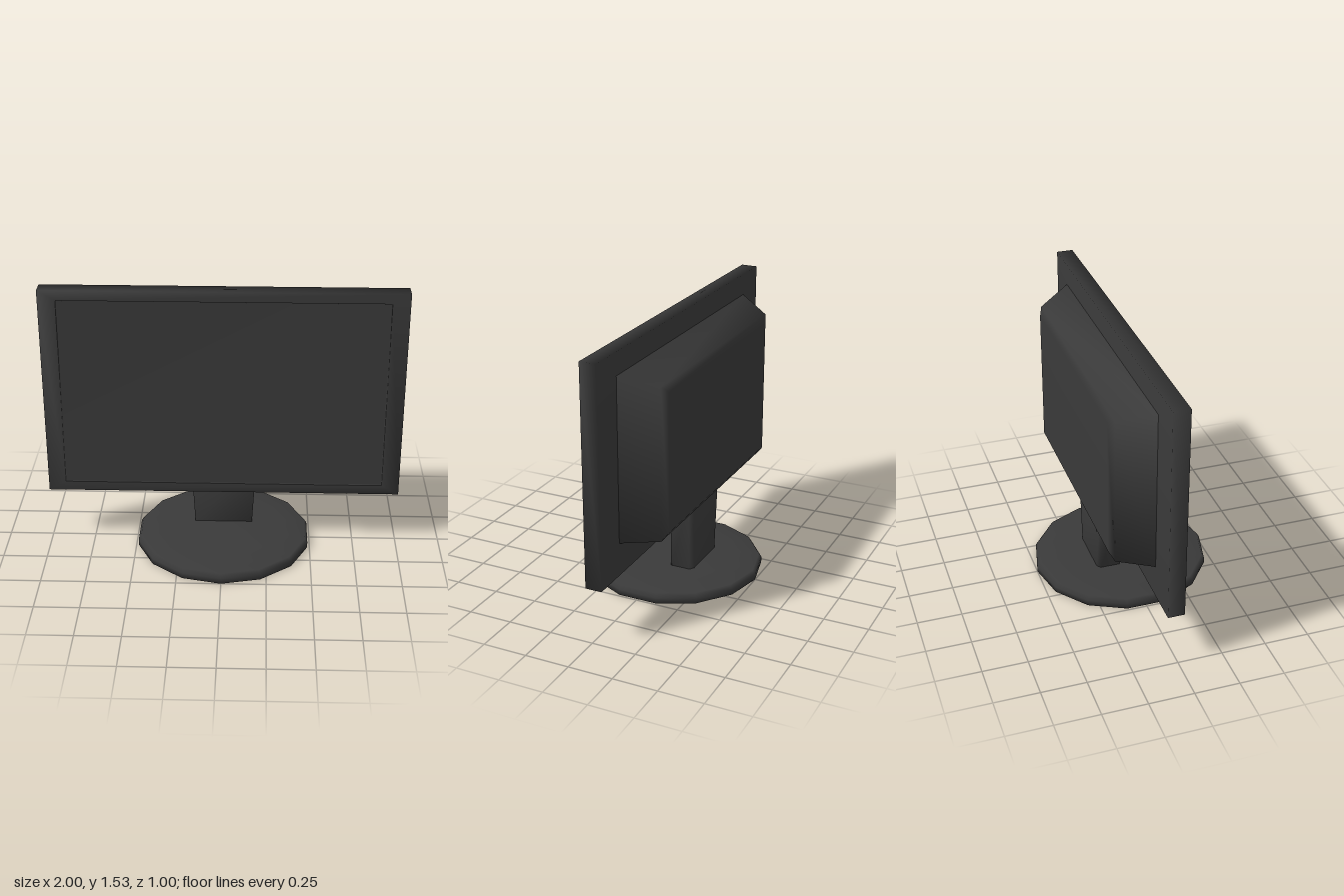
import * as THREE from 'three';

// Skin of consecutive cross-sections (counterclockwise seen from the last one), smooth normals
function loft(rings, capStart, capEnd) {
  const n = rings[0].length, last = (rings.length - 1) * n, index = [];
  for (let i = 0; i < rings.length - 1; i++) {
    for (let j = 0; j < n; j++) {
      const a = i * n + j, b = i * n + (j + 1) % n;
      index.push(a, b, b + n, a, b + n, a + n);
    }
  }
  for (let j = 1; j < n - 1; j++) {
    if (capStart) index.push(0, j + 1, j);
    if (capEnd) index.push(last, last + j, last + j + 1);
  }
  const geometry = new THREE.BufferGeometry();
  geometry.setAttribute('position', new THREE.Float32BufferAttribute(rings.flat(2), 3));
  geometry.setIndex(index);
  geometry.computeVertexNormals();
  return geometry;
}

// Upright rectangle facing +z
const rect = (hx, y0, y1, z) => [[-hx, y0, z], [hx, y0, z], [hx, y1, z], [-hx, y1, z]];

// Level neck section with chamfered rear corners
const neckSection = (y, hx, front, back) => [
  [hx, y, front], [hx, y, back + 0.018], [hx - 0.025, y, back],
  [-hx + 0.025, y, back], [-hx, y, back + 0.018], [-hx, y, front],
];

export function createModel() {
  const model = new THREE.Group();
  const plastic = new THREE.MeshStandardMaterial({ color: 0x3a3a3a });
  plastic.name = 'charcoal plastic';

  const add = (name, geometry, parent = model, x = 0, y = 0, z = 0) => {
    const mesh = new THREE.Mesh(geometry, plastic);
    mesh.name = name;
    mesh.position.set(x, y, z);
    parent.add(mesh);
    return mesh;
  };

  // Frame: closed back, sides and front bezel
  add('frame', loft([
    rect(1, 0.315, 1.535, -0.062),
    rect(1, 0.315, 1.535, 0.031),
    rect(0.902, 0.37, 1.478, 0.031),
  ], true, false));

  // Screen, set slightly back with a soft edge
  add('screen', loft([
    rect(0.902, 0.37, 1.478, 0.031),
    rect(0.898, 0.374, 1.474, 0.021),
  ], false, true));

  // Tapered rear housing
  add('rearHousing', loft([
    rect(0.64, 0.535, 1.31, -0.27),
    rect(0.69, 0.5, 1.345, -0.248),
    rect(0.8, 0.5, 1.412, -0.062),
  ], true, false));

  // Stand neck, widening upward
  add('neck', loft([
    neckSection(0.055, 0.165, -0.052, -0.184),
    neckSection(0.505, 0.19, -0.06, -0.19),
  ], true, true));

  // Fourteen-sided foot with a shallow recess below
  const profile = [
    [0, 0.012], [0.43, 0.012], [0.44, 0], [0.5, 0], [0.5, 0.033],
    [0.485, 0.056], [0.33, 0.069], [0, 0.07],
  ].map(([r, y]) => new THREE.Vector2(r, y));
  add('foot', new THREE.LatheGeometry(profile, 14));

  // Power inlet: hollow rim under the housing
  const rim = new THREE.Shape([[-0.09, -0.07], [0.09, -0.07], [0.09, 0.07], [-0.09, 0.07]]
    .map(([x, y]) => new THREE.Vector2(x, y)));
  rim.holes.push(new THREE.Path([[-0.07, -0.05], [-0.07, 0.05], [0.07, 0.05], [0.07, -0.05]]
    .map(([x, y]) => new THREE.Vector2(x, y))));
  const inlet = new THREE.ExtrudeGeometry(rim, { depth: 0.018, bevelEnabled: false });
  inlet.rotateX(Math.PI / 2);
  add('powerInlet', inlet, model, 0.38, 0.5, -0.15);

  // Video connector: plate, tapered shell and two screw posts
  const connector = new THREE.Group();
  connector.name = 'videoConnector';
  connector.position.set(-0.38, 0.5, -0.15);
  model.add(connector);
  add('connectorPlate', new THREE.BoxGeometry(0.25, 0.01, 0.06), connector, 0, -0.003, 0);
  const shell = new THREE.Shape([[-0.07, -0.025], [0.07, -0.025], [0.085, 0.025], [-0.085, 0.025]]
    .map(([x, y]) => new THREE.Vector2(x, y)));
  const shellGeometry = new THREE.ExtrudeGeometry(shell, { depth: 0.02, bevelEnabled: false });
  shellGeometry.rotateX(Math.PI / 2);
  add('connectorShell', shellGeometry, connector);
  for (const side of [-1, 1]) {
    add('screwPost', new THREE.CylinderGeometry(0.014, 0.014, 0.02, 6), connector, side * 0.107, -0.01, 0);
  }

  return model;
}
